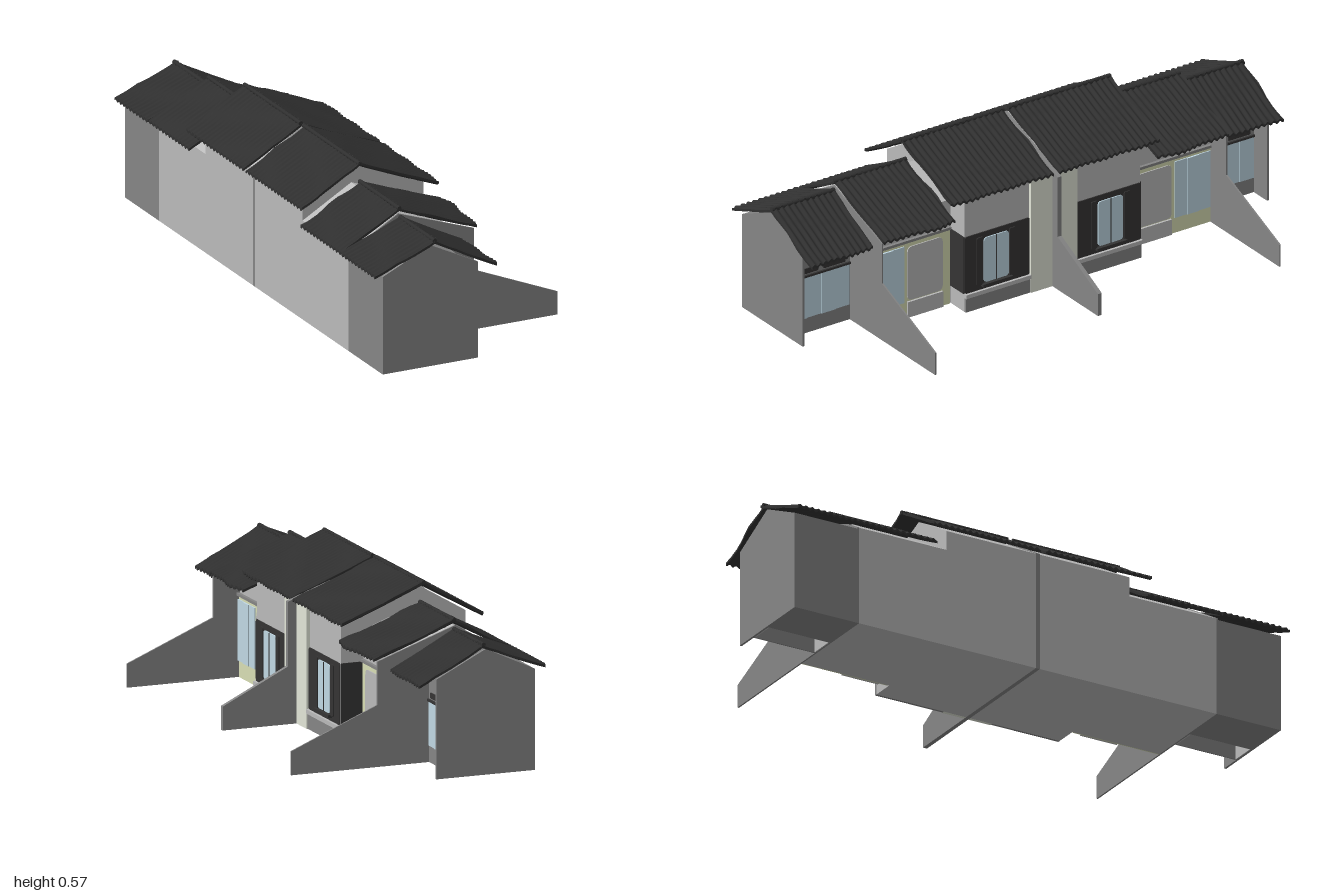
import * as THREE from 'three';

const mat = (name, color) => {
  const m = new THREE.MeshStandardMaterial({ color });
  m.name = name;
  return m;
};

export function createModel() {
  const M = {
    wall: mat('grey wall', 0x858585),
    light: mat('light render', 0xbababa),
    roof: mat('roof tile', 0x303030),
    frame: mat('charcoal frame', 0x353434),
    glass: mat('pale blue glass', 0xc0d8e4),
    cream: mat('cream pillar', 0xe2e6d8),
    green: mat('pale green frame', 0xd8deb4),
  };
  const model = new THREE.Group();
  model.name = 'terraceHouses';

  const add = (name, geo, material, parent = model) => {
    const mesh = new THREE.Mesh(geo, material);
    mesh.name = name;
    parent.add(mesh);
    return mesh;
  };

  // x-y outline extruded between two z values
  const prism = (name, pts, z0, z1, material, parent) => {
    const shape = new THREE.Shape(pts.map(p => new THREE.Vector2(...p)));
    const geo = new THREE.ExtrudeGeometry(shape, { depth: Math.abs(z1 - z0), bevelEnabled: false });
    geo.translate(0, 0, Math.min(z0, z1));
    return add(name, geo, material, parent);
  };

  const box = (name, x0, x1, y0, y1, z0, z1, material, parent) => {
    const geo = new THREE.BoxGeometry(x1 - x0, y1 - y0, Math.abs(z1 - z0));
    geo.translate((x0 + x1) / 2, (y0 + y1) / 2, (z0 + z1) / 2);
    return add(name, geo, material, parent);
  };

  // rounded thin panel facing +x
  const panel = (name, x, y0, y1, z0, z1, r, material, parent) => {
    const w = Math.abs(z1 - z0) / 2, h = (y1 - y0) / 2;
    const s = new THREE.Shape();
    s.moveTo(-w, -h + r);
    s.quadraticCurveTo(-w, -h, -w + r, -h);
    s.lineTo(w - r, -h);
    s.quadraticCurveTo(w, -h, w, -h + r);
    s.lineTo(w, h - r);
    s.quadraticCurveTo(w, h, w - r, h);
    s.lineTo(-w + r, h);
    s.quadraticCurveTo(-w, h, -w, h - r);
    const geo = new THREE.ExtrudeGeometry(s, { depth: 0.004, bevelEnabled: false, curveSegments: 5 });
    geo.rotateY(Math.PI / 2);
    geo.translate(x, (y0 + y1) / 2, (z0 + z1) / 2);
    return add(name, geo, material, parent);
  };

  // corrugated roof slope from a to b, with tile rolls running down it
  const slope = (name, a, b, z0, z1, wobble, parent) => {
    const period = 0.0245, width = z1 - z0, n = Math.round(width / period) * 6;
    const geo = new THREE.BoxGeometry(1, 0.009, width, 8, 1, n);
    const p = geo.attributes.position;
    for (let i = 0; i < p.count; i++) {
      const t = p.getX(i) + 0.5, z = p.getZ(i) + (z0 + z1) / 2;
      const az = Math.abs(z);
      const drift = 0.004 * Math.sin(t * 9 + az * 14);
      const roll = 0.004 * Math.cos((z + drift) / period * Math.PI * 2);
      const sway = wobble * t * Math.exp(-(((az - 0.52) / 0.08) ** 2)) + 0.003 * t * Math.sin(az * 40);
      const sag = -0.002 * Math.sin(t * Math.PI);
      p.setXYZ(i, a[0] + (b[0] - a[0]) * t + sway,
        a[1] + (b[1] - a[1]) * t + p.getY(i) + roll + sag, z + drift);
    }
    geo.computeVertexNormals();
    add(name, geo, M.roof, parent);
  };

  // central party wall
  prism('centralPartyWall', [[-0.385, 0], [0.375, 0], [0.375, 0.085], [0.13, 0.205], [0.13, 0.436],
    [-0.2, 0.553], [-0.385, 0.44]], -0.008, 0.008, M.wall);

  for (const s of [1, -1]) {
    const g = new THREE.Group();
    g.name = s > 0 ? 'frontHouse' : 'backHouse';
    model.add(g);
    const B = (n, x0, x1, y0, y1, z0, z1, m) => box(n, x0, x1, y0, y1, z0 * s, z1 * s, m, g);
    const P = (n, x, y0, y1, z0, z1, r, m) => panel(n, x, y0, y1, z0 * s, z1 * s, r, m, g);
    const X = (n, pts, z0, z1, m) => prism(n, pts, z0 * s, z1 * s, m, g);
    // glazing made of panes set alternately forward and back
    const panes = (n, x, y0, y1, edges) => edges.slice(1).forEach((z, i) =>
      B(n, x, x + 0.004 + (i % 2) * 0.003, y0, y1, edges[i], z, M.glass));

    // building volumes
    X('tallBlock', [[-0.385, 0], [0.085, 0], [0.085, 0.434], [-0.2, 0.545], [-0.385, 0.437]],
      0.008, 0.37, M.light);
    X('middleBlock', [[-0.385, 0], [0, 0], [0, 0.402], [-0.195, 0.475], [-0.385, 0.365]],
      0.37, 0.722, M.light);
    X('endBlock', [[-0.385, 0], [-0.195, 0], [-0.195, 0.442], [-0.385, 0.36]],
      0.728, 0.974, M.wall);
    X('endGableWall', [[-0.385, 0], [-0.015, 0], [-0.015, 0.355], [-0.2, 0.447], [-0.385, 0.36]],
      0.974, 0.982, M.wall);
    X('sidePartyWall', [[-0.385, 0], [0.424, 0], [0.424, 0.085], [0.1, 0.22], [0.1, 0.374],
      [-0.195, 0.478], [-0.385, 0.366]], 0.722, 0.728, M.wall);

    // tall block facade
    B('pillar', 0.085, 0.098, 0, 0.436, 0.008, 0.098, M.cream);
    B('plinth', 0.085, 0.094, 0, 0.055, 0.098, 0.37, M.wall);
    B('plinthCap', 0.085, 0.1, 0.055, 0.07, 0.098, 0.372, M.light);
    P('baySurround', 0.086, 0.07, 0.29, 0.098, 0.37, 0.008, M.frame);
    B('baySideSurround', 0.004, 0.085, 0.07, 0.29, 0.37, 0.374, M.frame);
    P('bayWindow', 0.09, 0.095, 0.268, 0.188, 0.293, 0.014, M.glass);
    B('bayMullion', 0.092, 0.096, 0.095, 0.268, 0.239, 0.242, M.frame);
    B('baySill', 0.085, 0.105, 0.083, 0.093, 0.178, 0.303, M.frame);
    for (const z of [0.172, 0.31]) P('shutter', 0.091, 0.09, 0.275, z - 0.013, z + 0.013, 0.006, M.frame);

    // middle block facade
    B('lintel', 0, 0.012, 0.29, 0.3, 0.374, 0.722, M.wall);
    B('greenSurround', 0, 0.004, 0, 0.29, 0.374, 0.722, M.green);
    P('door', 0.005, 0.065, 0.272, 0.408, 0.556, 0.02, M.light);
    B('doorStep', 0.004, 0.012, 0, 0.06, 0.408, 0.556, M.light);
    panes('middleWindow', 0.005, 0.06, 0.278, [0.57, 0.62, 0.67, 0.72]);

    // end block: hollow room behind a recessed glazed facade
    X('roomSideLining', [[-0.195, 0], [-0.1, 0], [-0.1, 0.395], [-0.195, 0.44]], 0.728, 0.732, M.light);
    X('roomGableLining', [[-0.195, 0], [-0.1, 0], [-0.1, 0.395], [-0.195, 0.44]], 0.97, 0.974, M.light);
    B('endFacade', -0.1, -0.095, 0, 0.395, 0.728, 0.974, M.wall);
    panes('endWindow', -0.095, 0.06, 0.218, [0.732, 0.79, 0.85, 0.91, 0.97]);
    B('endWindowHead', -0.095, -0.087, 0.218, 0.226, 0.728, 0.974, M.frame);
    for (const z of [0.795, 0.91]) P('vent', -0.094, 0.232, 0.252, z - 0.046, z + 0.046, 0.004, M.frame);

    // roofs, stepping down away from the centre
    const roof = (n, eaveBack, ridge, eaveFront, za, zb, wobble) => {
      const z0 = Math.min(za * s, zb * s), z1 = Math.max(za * s, zb * s);
      slope(n + 'BackSlope', eaveBack, [ridge[0] + 0.006, ridge[1]], z0, z1, 0, g);
      slope(n + 'FrontSlope', [ridge[0] - 0.004, ridge[1]], eaveFront, z0, z1, wobble, g);
      const cap = new THREE.CylinderGeometry(0.008, 0.008, z1 - z0, 8);
      cap.rotateX(Math.PI / 2);
      cap.translate(ridge[0], ridge[1] + 0.001, (z0 + z1) / 2);
      add(n + 'RidgeCap', cap, M.roof, g);
    };
    roof('tallRoof', [-0.422, 0.435], [-0.197, 0.565], [0.112, 0.442], 0.01, 0.44, 0);
    roof('middleRoof', [-0.42, 0.37], [-0.19, 0.495], [0.113, 0.382], 0.425, 0.728, 0.016);
    roof('endRoof', [-0.422, 0.37], [-0.188, 0.464], [0.053, 0.338], 0.729, 0.993, 0);
  }
  return model;
}
